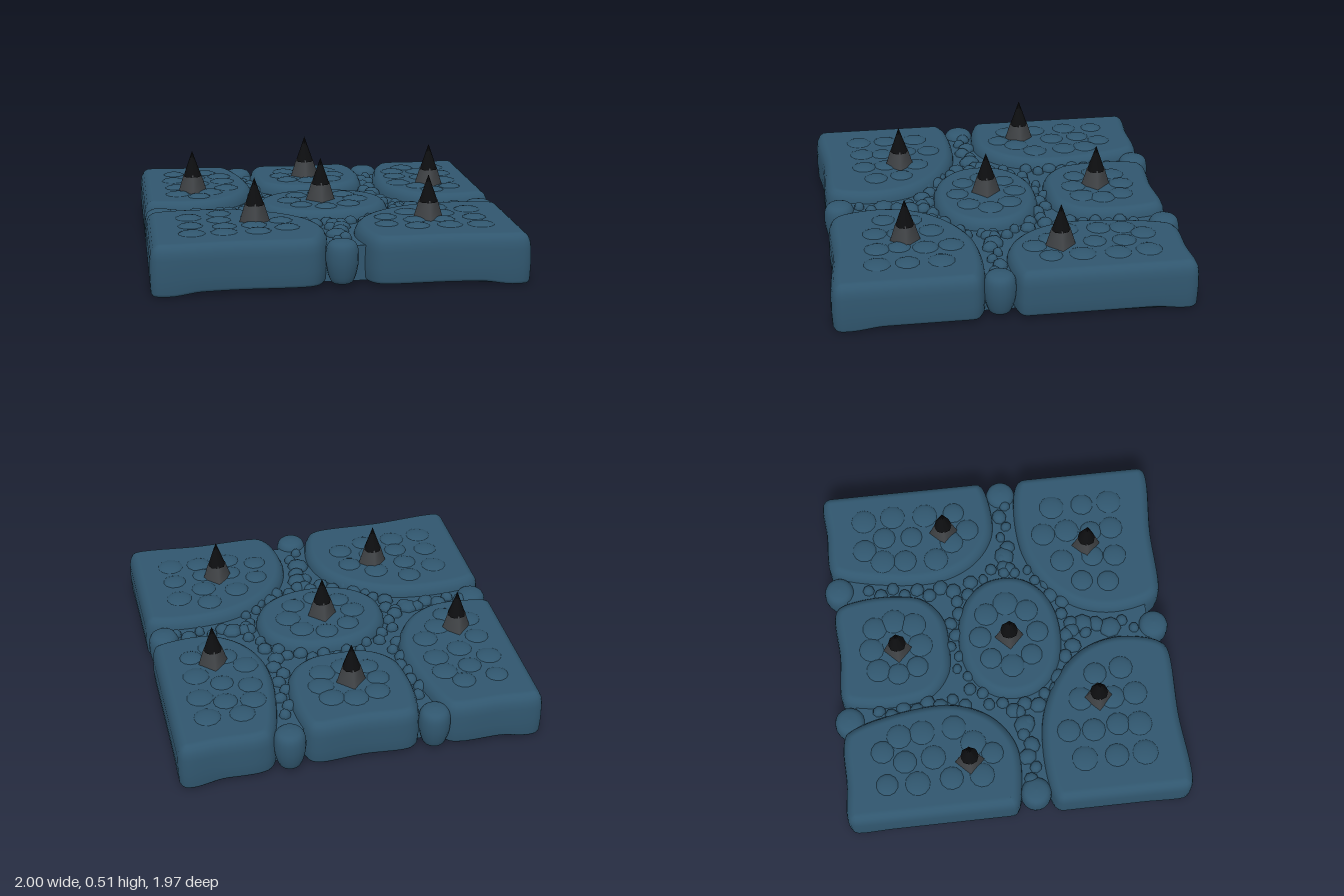
import * as THREE from 'three';

const mat = (name, color) => {
  const m = new THREE.MeshStandardMaterial({ color });
  m.name = name;
  return m;
};

// Small seeded generator for the loose pebbles
let seed = 7;
const rand = () => {
  seed = (seed * 16807) % 2147483647;
  return seed / 2147483647;
};

const toPoints = (list) => list.map(([x, z]) => new THREE.Vector2(x, z));

// Points on an ellipse; a power above 2 makes it boxier
const ellipse = (cx, cz, rx, rz, count, power = 2) => Array.from({ length: count }, (_, i) => {
  const a = (i / count) * Math.PI * 2, c = Math.cos(a), s = Math.sin(a);
  const k = (Math.abs(c) ** power + Math.abs(s) ** power) ** (-1 / power);
  return new THREE.Vector2(cx + rx * k * c, cz + rz * k * s);
});

// Mirrors to the left side, keeping the outer edge at x = 1 and narrowing by k
const mirror = (points, k) => points.map((p) => new THREE.Vector2(1 - (1 + p.x) * k, p.y));

// Rounded slab: insets of one closed outline stacked upwards, capped at both ends
function slabGeometry(outline) {
  const curve = new THREE.CatmullRomCurve3(
    outline.map((p) => new THREE.Vector3(p.x, -p.y, 0)), true, 'centripetal');
  const n = 112;
  let pts = curve.getSpacedPoints(n).slice(0, n)
    .map((p) => new THREE.Vector2(THREE.MathUtils.clamp(p.x, -1, 1), p.y));
  if (THREE.ShapeUtils.area(pts) < 0) pts = pts.reverse();
  const normals = pts.map((p, i) => {
    const d = pts[(i + 1) % n].clone().sub(pts[(i + n - 1) % n]).normalize();
    return new THREE.Vector2(d.y, -d.x);
  });
  const rings = [[0.03, 0.018], [0.012, 0.02], [0.004, 0.035], [0, 0.1], [0.002, 0.19],
    [0.008, 0.227], [0.02, 0.252], [0.038, 0.266], [0.05, 0.27], [0.06, 0.27]];
  const pos = [], idx = [];
  rings.forEach(([inset, y], r) => pts.forEach((p, i) => {
    const x = p.x - normals[i].x * inset, z = -(p.y - normals[i].y * inset);
    // the outermost corners reach down a little further
    const drop = r < 3 ? 0.018 * THREE.MathUtils.smoothstep(Math.abs(x * z), 0.7, 0.88) : 0;
    pos.push(x, y - drop, z);
  }));
  for (let r = 0; r < rings.length - 1; r++) {
    for (let i = 0; i < n; i++) {
      const a = r * n + i, b = r * n + (i + 1) % n;
      idx.push(a, b, b + n, a, b + n, a + n);
    }
  }
  const top = (rings.length - 1) * n;
  THREE.ShapeUtils.triangulateShape(pts, []).forEach(([a, b, c]) => {
    idx.push(top + a, top + b, top + c, a, c, b);
  });
  const g = new THREE.BufferGeometry();
  g.setAttribute('position', new THREE.Float32BufferAttribute(pos, 3));
  g.setIndex(idx);
  g.computeVertexNormals();
  return g;
}

export function createModel() {
  const group = new THREE.Group();
  group.name = 'spikedStoneTile';
  const blue = mat('blueStone', 0x30566e);
  const grey = mat('greySpikeBase', 0x414447);
  const black = mat('blackSpikeTip', 0x0d0e10);

  const add = (name, geometry, material, x, y, z, parent = group) => {
    const m = new THREE.Mesh(geometry, material);
    m.name = name;
    m.position.set(x, y, z);
    parent.add(m);
    return m;
  };

  // Sunken floor that fills the gaps between the slabs
  add('gapFloor', new THREE.BoxGeometry(1.8, 0.19, 1.72), blue, 0, 0.115, 0);

  // A slab with its embedded cobbles and one spike
  const cobble = new THREE.SphereGeometry(1, 12, 8);
  const baseGeo = new THREE.CylinderGeometry(0.05, 0.087, 0.12, 4);
  const tipGeo = new THREE.ConeGeometry(0.052, 0.15, 8);
  const addSlab = (name, outline, stones, spikeX, spikeZ) => {
    const part = new THREE.Group();
    part.name = name;
    group.add(part);
    add('slabBody', slabGeometry(outline), blue, 0, 0, 0, part);
    for (const p of stones) {
      const c = add('cobble', cobble, blue, p.x, 0.262, p.y, part);
      const r = 0.066 + rand() * 0.012;
      c.scale.set(r, 0.024, r);
      c.rotation.y = rand() * 3;
    }
    add('spikeBase', baseGeo, grey, spikeX, 0.315, spikeZ, part);
    add('spikeTip', tipGeo, black, spikeX, 0.437, spikeZ, part);
  };

  // Back corner slabs
  const backOutline = toPoints([[-1, -0.5], [-1, -0.91], [-0.97, -0.955], [-0.75, -0.95], [-0.53, -0.95],
    [-0.46, -0.92], [-0.36, -0.56], [-0.36, -0.29], [-0.45, -0.1], [-0.59, 0.01], [-0.72, 0.04],
    [-0.97, 0.005], [-1, -0.03]]);
  const backStones = toPoints([[-0.8, -0.72], [-0.61, -0.73], [-0.81, -0.55], [-0.68, -0.61],
    [-0.53, -0.63], [-0.67, -0.45], [-0.52, -0.5], [-0.8, -0.36], [-0.51, -0.32], [-0.8, -0.19],
    [-0.61, -0.22], [-0.68, -0.12]]);
  addSlab('backRightSlab', backOutline, backStones, -0.71, -0.25);
  addSlab('backLeftSlab', mirror(backOutline, 0.94), mirror(backStones, 0.98), 0.69, -0.26);

  // Front corner slabs
  const frontOutline = toPoints([[-1, 0.55], [-1, 0.24], [-0.97, 0.2], [-0.83, 0.165], [-0.5, 0.18],
    [-0.26, 0.29], [-0.11, 0.45], [-0.05, 0.64], [-0.07, 0.83], [-0.11, 0.92], [-0.16, 0.955],
    [-0.55, 0.96], [-0.97, 0.975], [-1, 0.93]]);
  const frontStones = toPoints([[-0.77, 0.39], [-0.6, 0.32], [-0.42, 0.41], [-0.77, 0.57],
    [-0.61, 0.46], [-0.59, 0.6], [-0.28, 0.51], [-0.43, 0.59], [-0.77, 0.73], [-0.6, 0.72],
    [-0.42, 0.72], [-0.26, 0.66]]);
  addSlab('frontRightSlab', frontOutline, frontStones, -0.42, 0.51);
  addSlab('frontLeftSlab', mirror(frontOutline, 0.95), mirror(frontStones, 0.98), 0.52, 0.56);

  // Back middle slab, from one half outline, and the oval centre slab
  const half = [[0.25, -0.94], [0.3, -0.91], [0.335, -0.78], [0.34, -0.6], [0.3, -0.42], [0.17, -0.31]];
  const otherHalf = half.map(([x, z]) => [-x, z]).reverse();
  addSlab('backMiddleSlab', toPoints([[0, -0.93], ...half, [0, -0.29], ...otherHalf]),
    ellipse(0, -0.6, 0.16, 0.14, 8, 3), -0.01, -0.59);
  addSlab('centreSlab', ellipse(0.01, 0.055, 0.375, 0.3, 16, 2.15),
    ellipse(0.01, 0.05, 0.19, 0.165, 8), 0, 0.05);

  // Upright barrel stones closing the gaps at the edges
  const barrel = new THREE.LatheGeometry(new THREE.SplineCurve(toPoints([
    [0, 0.02], [0.045, 0.022], [0.066, 0.045], [0.083, 0.11], [0.087, 0.17], [0.08, 0.22],
    [0.055, 0.247], [0, 0.256],
  ])).getPoints(18), 18);
  for (const [x, z] of [[-0.395, -0.9], [0.4, -0.9], [-0.913, 0.1], [0.913, 0.1], [0, 0.89]]) {
    add('edgeStone', barrel, blue, x, 0, z);
  }

  // Loose pebbles: a few large ones, then rows along each gap
  const pebbleGeo = new THREE.SphereGeometry(1, 8, 6);
  const pebble = (x, z, r) => {
    const p = add('pebble', pebbleGeo, blue, x, 0.212, z);
    p.scale.set(r * (0.85 + rand() * 0.3), 0.036, r);
    p.rotation.y = rand() * 3;
  };
  for (const [x, z] of [[-0.52, 0.08], [0.52, 0.08], [0.05, 0.49], [0.01, 0.64]]) pebble(x, z, 0.062);
  const pebbleRow = (points) => {
    const path = new THREE.SplineCurve(points);
    const count = Math.round(path.getLength() / 0.068);
    for (let i = 0; i <= count; i++) {
      const p = path.getPointAt(i / count);
      const t = path.getTangentAt(i / count);
      const side = (i % 2 ? 1 : -1) * 0.018;
      pebble(p.x - t.y * side, p.y + t.x * side, 0.03 + rand() * 0.017);
    }
  };
  for (const s of [-1, 1]) {
    pebbleRow(toPoints([[s * 0.37, -0.73], [s * 0.365, -0.58], [s * 0.34, -0.4], [s * 0.35, -0.24]]));
    pebbleRow(toPoints([[s * 0.84, 0.1], [s * 0.64, 0.09], [s * 0.44, 0.08]]));
  }
  pebbleRow(toPoints([[0, 0.42], [0.02, 0.55], [0.03, 0.68], [0.01, 0.78]]));
  const around = ellipse(0.01, 0.065, 0.425, 0.335, 24);
  pebbleRow([...around, around[0]]);

  return group;
}
